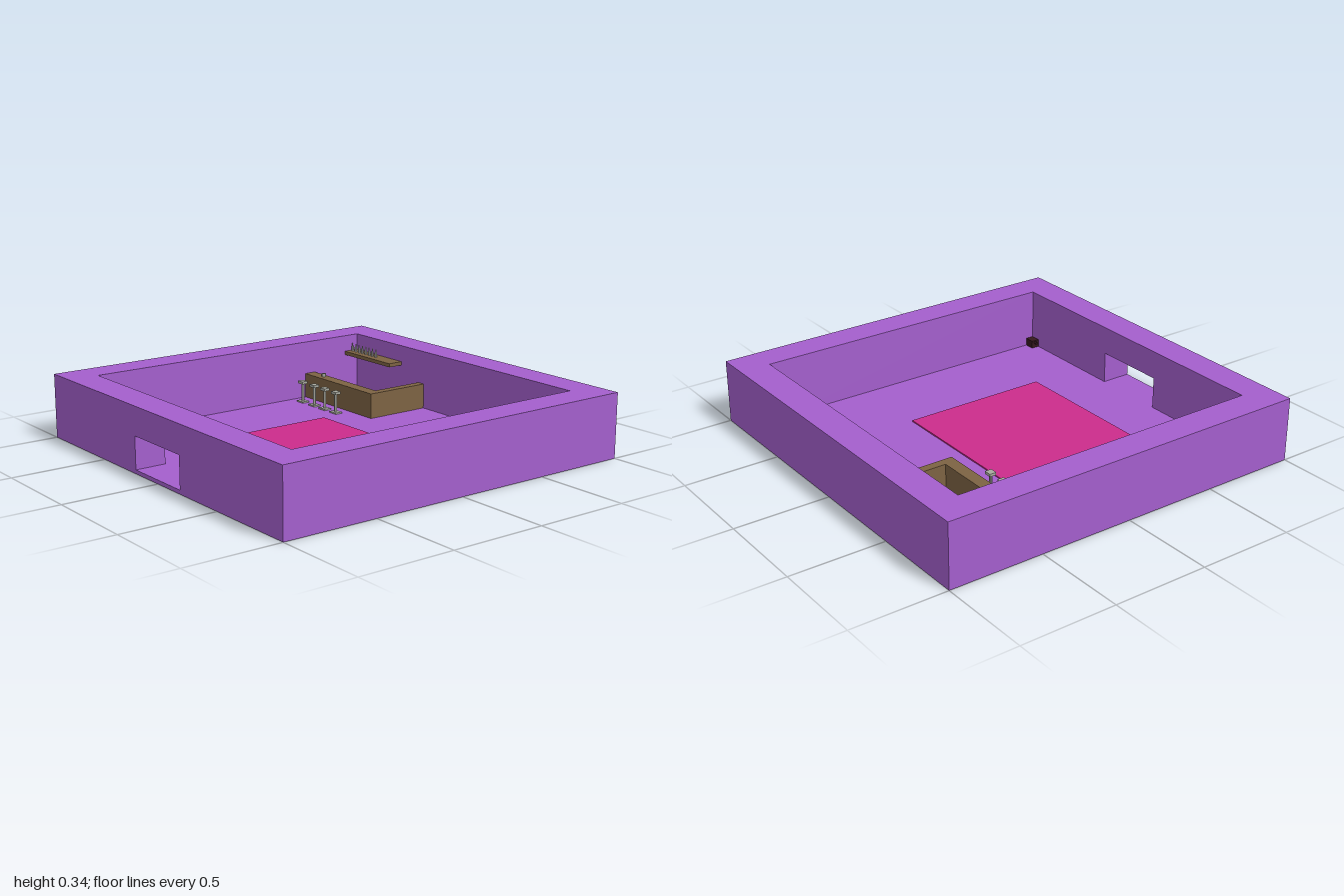
import * as THREE from 'three';

const paint = (color) => new THREE.MeshStandardMaterial({ color, flatShading: true });
const purple = paint(0xa45fcd), pink = paint(0xcb2c8c), wood = paint(0x7d6343);
const metal = paint(0xa9aaa0), dark = paint(0x35181f), grey = paint(0xcccccc);

const H = 0.335, IN = 0.837, FLOOR = 0.02;

export function createModel() {
  const model = new THREE.Group();

  const add = (name, geometry, material, parent = model) => {
    const mesh = new THREE.Mesh(geometry, material);
    mesh.name = name;
    parent.add(mesh);
    return mesh;
  };
  // Box given by its extents along each axis
  const box = (name, material, x0, x1, y0, y1, z0, z1, parent = model) => {
    const mesh = add(name, new THREE.BoxGeometry(x1 - x0, y1 - y0, z1 - z0), material, parent);
    mesh.position.set((x0 + x1) / 2, (y0 + y1) / 2, (z0 + z1) / 2);
    return mesh;
  };
  // Cylinder standing on height y
  const post = (name, material, r, h, x, y, z, parent = model, sides = 10) => {
    const mesh = add(name, new THREE.CylinderGeometry(r, r, h, sides), material, parent);
    mesh.position.set(x, y + h / 2, z);
    return mesh;
  };

  // Room shell: floor, back wall and side walls
  box('floor', purple, -IN, IN, 0, FLOOR, -IN, IN);
  box('backWall', purple, -1, 1, 0, H, -1, -IN);
  box('rightWall', purple, -1, -IN, 0, H, -IN, IN);
  box('leftWall', purple, IN, 1, 0, H, -IN, IN);

  // Front wall with the doorway cut through
  const wall = new THREE.Shape([[-1, 0], [1, 0], [1, H], [-1, H]].map(p => new THREE.Vector2(...p)));
  wall.holes.push(new THREE.Path(
    [[-0.2, FLOOR], [-0.2, 0.187], [0.193, 0.187], [0.193, FLOOR]].map(p => new THREE.Vector2(...p))));
  add('frontWall', new THREE.ExtrudeGeometry(wall, { depth: 1 - IN, bevelEnabled: false }), purple)
    .position.z = IN;

  // Dance floor
  box('danceFloor', pink, -0.4, 0.4, FLOOR, 0.027, -0.27, 0.53);

  // L-shaped bar counter with a small tap
  box('counterFront', wood, -IN, -0.25, FLOOR, 0.155, -0.535, -0.47);
  box('counterReturn', wood, -0.295, -0.25, FLOOR, 0.155, -IN, -0.535);
  post('tap', metal, 0.012, 0.018, -0.72, 0.155, -0.51);

  // Wall shelf with a row of bottles
  box('shelf', wood, -IN, -0.44, 0.225, 0.245, -IN, -0.75);
  for (let i = 0; i < 8; i++) {
    const bottle = new THREE.Group();
    bottle.name = 'bottle';
    bottle.position.set(-0.82 + i * 0.03, 0.245, -0.792);
    post('bottleBody', grey, 0.007, 0.028, 0, 0, 0, bottle, 8);
    post('bottleNeck', grey, 0.003, 0.016, 0, 0.028, 0, bottle, 8);
    model.add(bottle);
  }

  // Bar stools: foot plate, pole and seat
  for (const x of [-0.755, -0.65, -0.555, -0.457]) {
    const stool = new THREE.Group();
    stool.name = 'stool';
    stool.position.set(x, FLOOR, -0.392);
    box('stoolFoot', metal, -0.027, 0.027, 0, 0.008, -0.021, 0.021, stool);
    post('stoolPole', metal, 0.008, 0.1, 0, 0.008, 0, stool);
    box('stoolSeat', metal, -0.02, 0.02, 0.106, 0.12, -0.018, 0.018, stool);
    model.add(stool);
  }

  // Dark speaker box in the front corner with a small knob
  box('speaker', dark, 0.782, IN, FLOOR, 0.062, 0.793, IN);
  post('speakerKnob', dark, 0.008, 0.018, 0.773, 0.041, 0.813).rotation.z = Math.PI / 2;

  return model;
}
